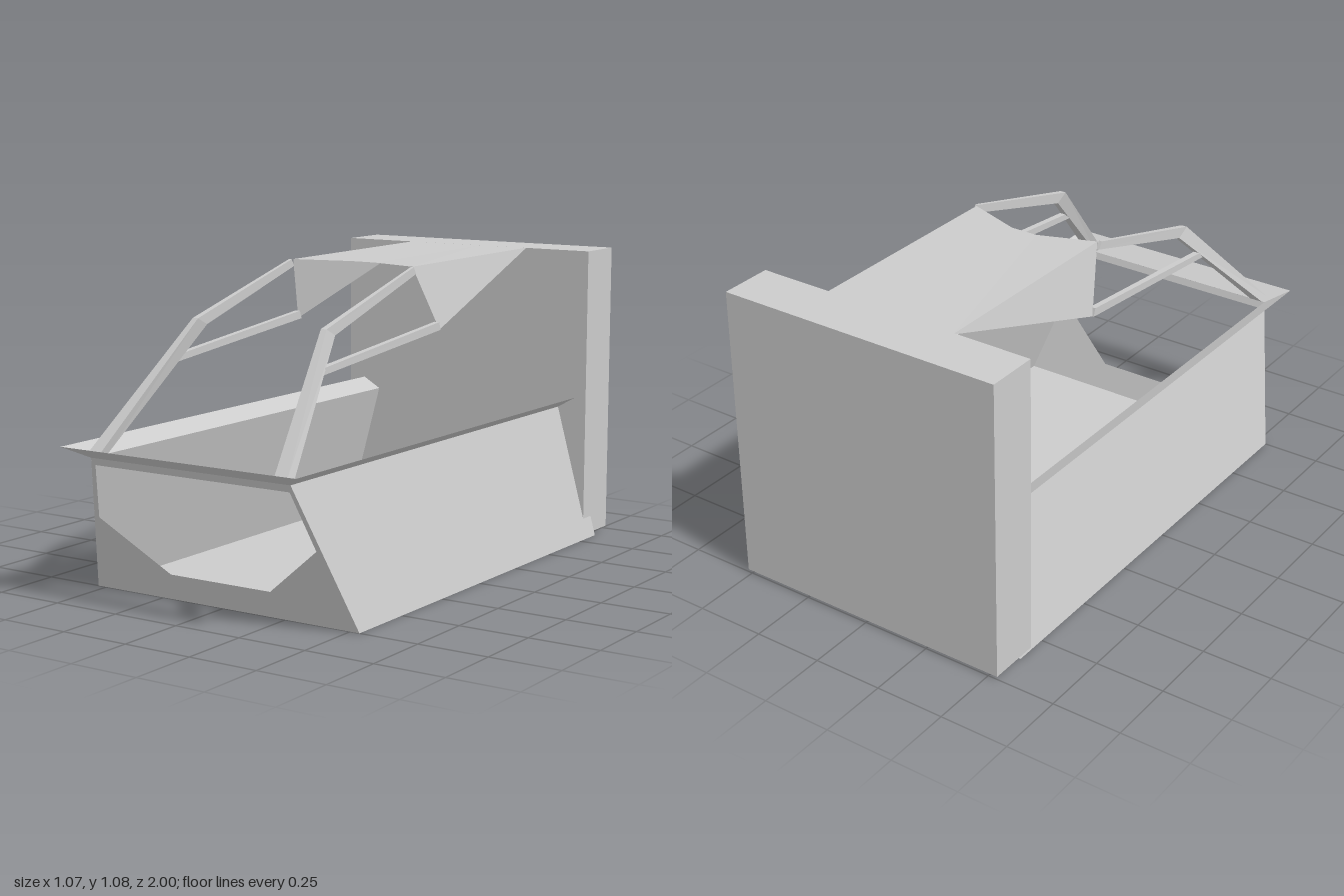
import * as THREE from 'three';

const material = new THREE.MeshStandardMaterial({ color: 0xcccccc, side: THREE.DoubleSide, flatShading: true });

function add(parent, name, geometry) {
  geometry.computeVertexNormals();
  const mesh = new THREE.Mesh(geometry, material);
  mesh.name = name;
  parent.add(mesh);
  return mesh;
}

// Surface through cross-sections of equal length; closed joins each ring's ends and caps the loft
function loft(rings, closed = false) {
  const n = rings[0].length, index = [];
  for (let r = 0; r < rings.length - 1; r++) {
    for (let i = 0; i < (closed ? n : n - 1); i++) {
      const a = r * n + i, b = r * n + (i + 1) % n;
      index.push(a, b, b + n, a, b + n, a + n);
    }
  }
  if (closed) {
    const e = (rings.length - 1) * n;
    for (let i = 1; i < n - 1; i++) index.push(0, i + 1, i, e, e + i, e + i + 1);
  }
  const geometry = new THREE.BufferGeometry();
  geometry.setAttribute('position', new THREE.Float32BufferAttribute(rings.flat(2), 3));
  geometry.setIndex(index);
  return geometry;
}

// Bar section: inner and outer x, then upper and lower edge as [y, z]
const section = (xi, xo, [yu, zu], [yl, zl]) => [[xi, yu, zu], [xo, yu, zu], [xo, yl, zl], [xi, yl, zl]];

export function createModel() {
  const model = new THREE.Group();

  // Block at the back
  const block = add(model, 'backBlock', new THREE.BoxGeometry(1.05, 1.07, 0.19));
  block.position.set(-0.01, 0.545, -0.905);

  // Floor and sloping side walls as one trough
  const trough = (zBottom, zTop) => [[-0.4, 0.49, zTop], [-0.535, 0, zBottom], [0.535, 0, zBottom], [0.4, 0.49, zTop]];
  add(model, 'hull', loft([trough(-0.87, -0.87), trough(0.75, 0.93)]));

  // Leaning front panel with a six-sided opening
  const points = (list) => list.map(([x, y]) => new THREE.Vector2(x, y));
  const panel = new THREE.Shape(points([[-0.535, 0], [0.535, 0], [0.4, 0.49], [-0.4, 0.49]]));
  panel.holes.push(new THREE.Path(points([
    [-0.39, 0.465], [0.39, 0.465], [0.44, 0.27], [0.215, 0.095], [-0.19, 0.095], [-0.44, 0.27],
  ])));
  const panelGeometry = new THREE.ShapeGeometry(panel);
  const p = panelGeometry.attributes.position;
  for (let i = 0; i < p.count; i++) p.setZ(i, 0.75 + 0.367 * p.getY(i));
  add(model, 'frontPanel', panelGeometry);

  // Flared rim around the sides and front
  const rim = (x, y, z) => [[-x, y, -0.87], [-x, y, z], [x, y, z], [x, y, -0.87]];
  add(model, 'rim', loft([rim(0.4, 0.49, 0.93), rim(0.47, 0.53, 1)]));

  // Roof with a notched front edge
  add(model, 'roof', loft([
    [[-0.25, 1.08, -0.82], [-0.05, 1.08, -0.82], [0.05, 1.08, -0.82], [0.25, 1.08, -0.82]],
    [[-0.25, 1.075, -0.01], [-0.05, 1.073, -0.08], [0.05, 1.073, -0.08], [0.25, 1.075, -0.01]],
  ]));

  for (const s of [1, -1]) {
    const side = new THREE.Group();
    side.name = s > 0 ? 'leftCanopySide' : 'rightCanopySide';
    const mirror = (rings) => rings.map((ring) => ring.map(([x, y, z]) => [s * x, y, z]));

    // Triangular panel below the roof edge
    add(side, 'sidePanel', loft(mirror([
      [[0.25, 1.08, -0.82], [0.25, 1.075, -0.01]],
      [[0.25, 1.08, -0.82], [0.3, 0.85, -0.11]],
    ])));

    // Bent pillar from the rim up to the roof
    add(side, 'pillar', loft(mirror([
      section(0.35, 0.4, [0.505, 0.95], [0.5, 0.91]),
      section(0.25, 0.272, [0.92, 0.545], [0.895, 0.495]),
      section(0.25, 0.262, [1.075, 0], [1.05, -0.015]),
    ]), true));

    // Lower rail between pillar and side panel
    add(side, 'rail', loft(mirror([
      section(0.28, 0.303, [0.805, 0.595], [0.78, 0.615]),
      section(0.285, 0.305, [0.878, -0.1], [0.85, -0.11]),
    ]), true));
    model.add(side);
  }
  return model;
}
